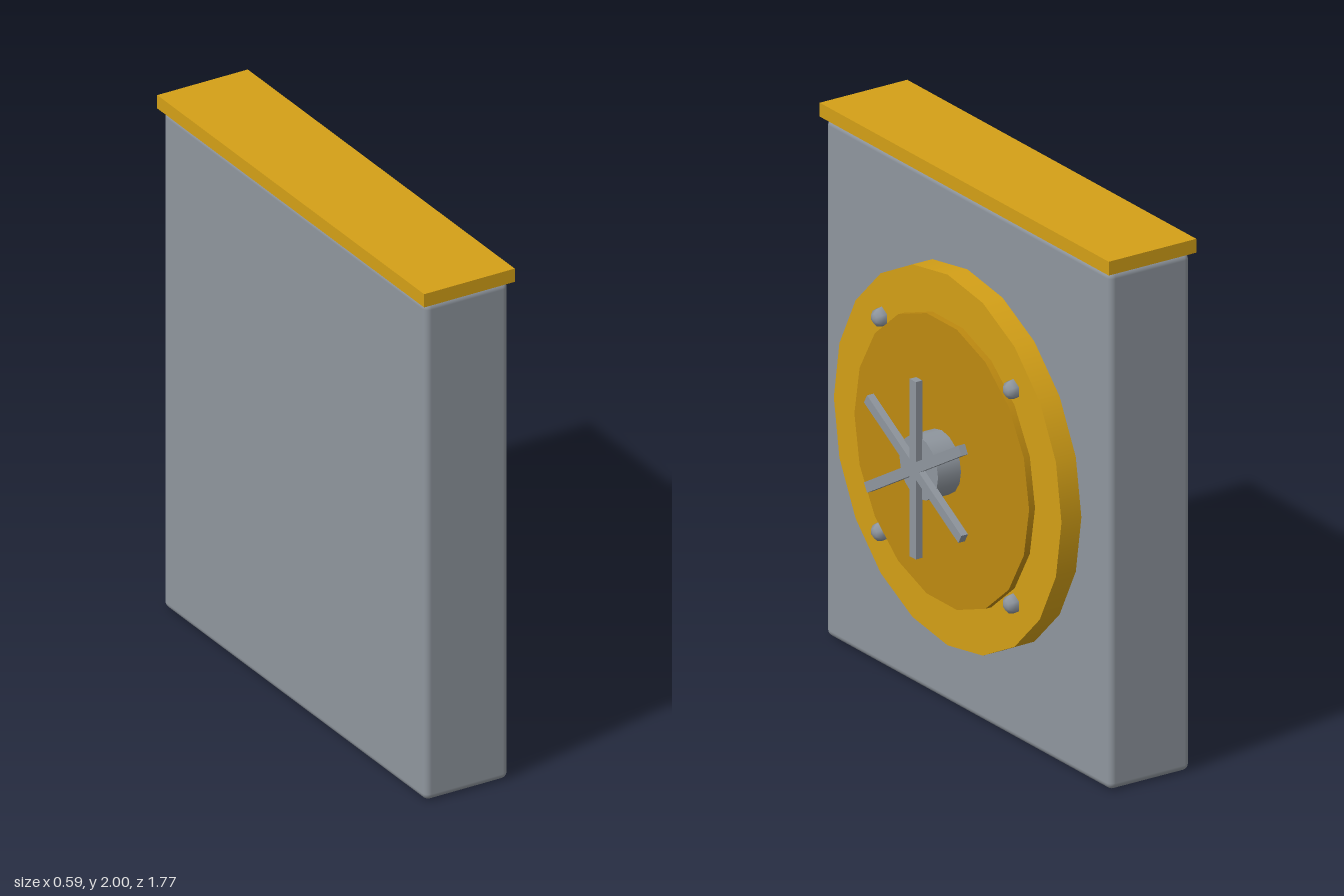
import * as THREE from 'three';
import { RoundedBoxGeometry } from 'three/addons/geometries/RoundedBoxGeometry.js';

const paint = (color) => new THREE.MeshStandardMaterial({ color });

export function createModel() {
  const model = new THREE.Group();
  const steel = paint(0x8f969e);
  const gold = paint(0xd4a017);
  const darkGold = paint(0xbe8a10);
  const axisY = 0.972; // height of the dial axis

  const add = (parent, name, geometry, material, x, y, z = 0) => {
    const mesh = new THREE.Mesh(geometry, material);
    mesh.name = name;
    mesh.position.set(x, y, z);
    parent.add(mesh);
    return mesh;
  };

  // Disc whose axis runs along x, between x0 and x1
  const disc = (name, radius, x0, x1, sides, material) => {
    const geometry = new THREE.CylinderGeometry(radius, radius, x1 - x0, sides);
    geometry.rotateZ(-Math.PI / 2);
    return add(model, name, geometry, material, (x0 + x1) / 2, axisY);
  };

  // Upright slab and its overhanging cap
  add(model, 'body', new RoundedBoxGeometry(0.342, 1.947, 1.742, 3, 0.025), steel, -0.11, 0.9735);
  add(model, 'topCap', new THREE.BoxGeometry(0.37, 0.052, 1.77), gold, -0.11, 1.974);

  // Stepped round door and hub
  disc('doorRing', 0.697, 0.05, 0.145, 20, gold);
  disc('doorPlate', 0.535, 0.13, 0.17, 18, darkGold);
  disc('wheelHub', 0.118, 0.16, 0.267, 16, steel);

  // Domed six-sided bolts around the door
  const bolt = new THREE.SphereGeometry(0.038, 6, 6).rotateZ(-Math.PI / 2);
  for (const sy of [-1, 1]) {
    for (const sz of [-1, 1]) {
      add(model, 'bolt', bolt, steel, 0.146, axisY + sy * 0.403, sz * 0.403);
    }
  }

  // Handwheel of three crossing bars
  const wheel = new THREE.Group();
  wheel.name = 'handwheel';
  wheel.position.set(0.279, axisY, 0);
  const bar = new THREE.BoxGeometry(0.028, 0.667, 0.038);
  for (let i = 0; i < 3; i++) {
    add(wheel, 'spokeBar', bar, steel, 0, 0).rotation.x = (i * Math.PI) / 3;
  }
  model.add(wheel);

  return model;
}
